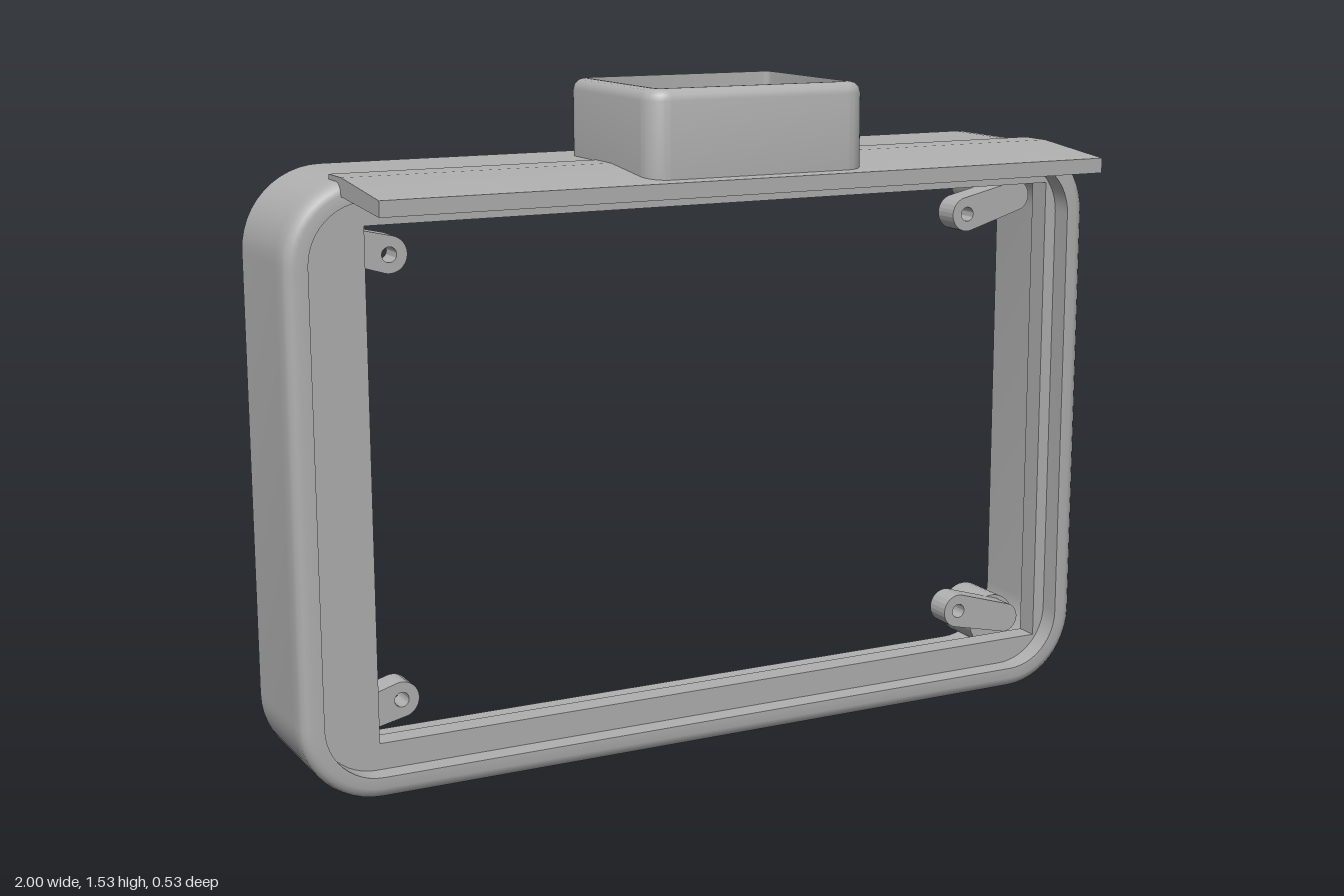
import * as THREE from 'three';
import { toCreasedNormals } from 'three/addons/utils/BufferGeometryUtils.js';

const H = 1.358, BACK = -0.265, SPLIT = -0.03, WALL = 0.05, GAP = 0.1;

// Counter-clockwise rounded rectangle about the origin, starting at top left
function roundedRect(w, h, r, inset = 0) {
  const pts = [], n = 12, rad = Math.max(r - inset, 0.001);
  const corners = [[-1, 1, 0.5], [-1, -1, 1], [1, -1, 1.5], [1, 1, 0]];
  for (const [sx, sy, start] of corners) {
    for (let i = 0; i <= n; i++) {
      const a = Math.PI * (start + 0.5 * i / n);
      pts.push(new THREE.Vector2(sx * (w / 2 - r) + rad * Math.cos(a), sy * (h / 2 - r) + rad * Math.sin(a)));
    }
  }
  return pts;
}

// Closed rim swept round a rounded rectangle; profile holds [inset, z] pairs
function rim(w, h, r, profile) {
  const rings = profile.map(([inset]) => roundedRect(w, h, r, inset));
  const n = rings[0].length, m = rings.length, pos = [], idx = [];
  rings.forEach((ring, j) => ring.forEach((p) => pos.push(p.x, p.y, profile[j][1])));
  for (let j = 0; j < m; j++) {
    for (let i = 0; i < n; i++) {
      const i2 = (i + 1) % n, j2 = (j + 1) % m;
      const a = j * n + i, b = j * n + i2, c = j2 * n + i2, d = j2 * n + i;
      idx.push(a, b, c, a, c, d);
    }
  }
  const g = new THREE.BufferGeometry();
  g.setAttribute('position', new THREE.Float32BufferAttribute(pos, 3));
  g.setIndex(idx);
  return g;
}

function extrude(shape, z0, z1) {
  return new THREE.ExtrudeGeometry(shape, { depth: z1 - z0, bevelEnabled: false, curveSegments: 24 }).translate(0, 0, z0);
}

function circleHole(x, y, r) {
  return new THREE.Path().absarc(x, y, r, 0, Math.PI * 2, true);
}

export function createModel() {
  const model = new THREE.Group();
  const grey = new THREE.MeshStandardMaterial({ color: 0xb0b0b0 });
  grey.name = 'plain grey';
  const add = (name, geometry) => {
    const mesh = new THREE.Mesh(toCreasedNormals(geometry, 0.6), grey);
    mesh.name = name;
    model.add(mesh);
    return mesh;
  };

  // Front rim with a rounded outer edge
  add('frontRim', rim(2, H, 0.18, [
    [0, SPLIT], [0, 0.01], [0.0035, 0.0225], [0.0125, 0.0315], [0.025, 0.035], [WALL, 0.035], [WALL, SPLIT],
  ]).translate(0, H / 2, 0));

  // Side walls, left open at the top middle for the drilled block
  const v = (x, y) => new THREE.Vector2(x, y);
  const wall = new THREE.Shape([
    v(-GAP, H / 2), ...roundedRect(2, H, 0.18), v(GAP, H / 2),
    v(GAP, H / 2 - WALL), ...roundedRect(2, H, 0.18, WALL).reverse(), v(-GAP, H / 2 - WALL),
  ]);
  add('frameWall', extrude(wall, BACK, SPLIT).translate(0, H / 2, 0));

  const block = new THREE.Shape([v(-GAP, BACK), v(GAP, BACK), v(GAP, SPLIT), v(-GAP, SPLIT)]);
  block.holes.push(circleHole(0, -0.115, 0.055));
  add('drilledTopBlock', extrude(block, 0, WALL).rotateX(Math.PI / 2).translate(0, H, 0));

  // Recessed plate with an off-centre opening
  const plate = new THREE.Shape(roundedRect(2, H, 0.18, WALL - 0.004));
  const [x0, x1, y0, y1] = [-0.81, 0.92, 0.11 - H / 2, 1.25 - H / 2];
  plate.holes.push(new THREE.Path([v(x0, y0), v(x0, y1), v(x1, y1), v(x1, y0)]));
  add('recessedPlate', extrude(plate, -0.07, -0.015).translate(0, H / 2, 0));

  // Sloping visor over the front
  const visor = new THREE.Shape([
    v(0.265, 1.303), v(0.265, 1.337), v(0.04, 1.36), v(-0.04, 1.36), v(-0.04, 1.32), v(0.04, 1.32),
  ]);
  add('visor', extrude(visor, -0.875, 0.875).rotateY(-Math.PI / 2));

  // Open tray on top
  add('topTray', rim(0.53, 0.43, 0.05, [
    [0, 1.336], [0, 1.505], [0.0035, 1.5175], [0.0125, 1.5265], [0.025, 1.53], [0.032, 1.53], [0.032, 1.336],
  ]).rotateX(-Math.PI / 2).translate(0, 0, 0.02));

  // Corner screw bosses and the drilled arms in front of them
  const bossProfile = [[0, -0.16], [0.043, -0.16], [0.043, BACK], [0.065, BACK], [0.065, -0.135], [0, -0.135]];
  for (const sx of [-1, 1]) {
    for (const sy of [-1, 1]) {
      const side = (sy > 0 ? 'upper' : 'lower') + (sx > 0 ? 'Left' : 'Right');
      const boss = new THREE.LatheGeometry(bossProfile.map(([r, y]) => v(r, y)), 32).rotateX(Math.PI / 2);
      add(side + 'Boss', boss.translate(sx * 0.875, H / 2 + sy * 0.556, 0));

      const base = v(sx * 0.875, sy * 0.535), tip = v(sx * 0.735, sy * 0.498);
      const a = Math.atan2(tip.y - base.y, tip.x - base.x);
      const arm = new THREE.Shape();
      arm.absarc(tip.x, tip.y, 0.041, a - Math.PI / 2, a + Math.PI / 2, false);
      arm.absarc(base.x, base.y, 0.036, a + Math.PI / 2, a + Math.PI * 1.5, false);
      arm.closePath();
      arm.holes.push(circleHole(tip.x, tip.y, 0.017));
      add(side + 'Arm', extrude(arm, -0.14, -0.075).translate(0, H / 2, 0));
    }
  }
  return model;
}
